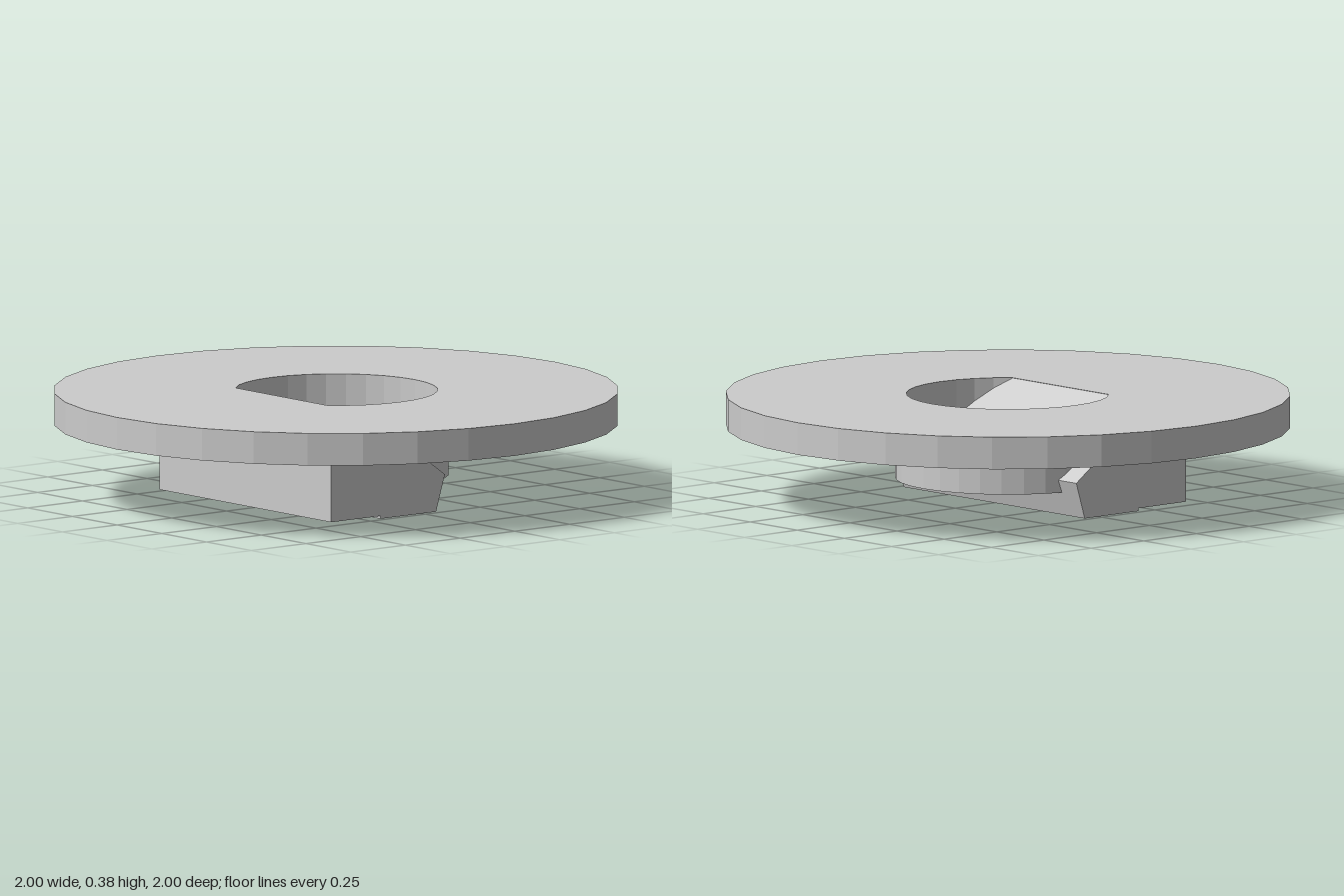
import * as THREE from 'three';

const SIDES = 32;

// Regular polygon points, optionally cut flat at a minimum y.
function ring(radius, minY = -Infinity) {
  return Array.from({ length: SIDES }, (_, i) => {
    const a = (i / SIDES) * Math.PI * 2;
    return new THREE.Vector2(Math.cos(a) * radius, Math.max(Math.sin(a) * radius, minY));
  });
}

export function createModel() {
  const group = new THREE.Group();
  const material = new THREE.MeshStandardMaterial({ color: 0xcccccc, flatShading: true });
  const add = (name, geometry) => {
    const mesh = new THREE.Mesh(geometry, material);
    mesh.name = name;
    group.add(mesh);
  };

  // Flange disc with a D-shaped opening
  const discShape = new THREE.Shape(ring(1));
  discShape.holes.push(new THREE.Path(ring(0.36, -0.25)));
  const disc = new THREE.ExtrudeGeometry(discShape, { depth: 0.115, bevelEnabled: false });
  disc.rotateX(-Math.PI / 2).translate(0, 0.27, 0);
  add('flangeDisc', disc);

  // Round cup with a thick floor hanging below the opening
  const cupProfile = [[0, 0.085], [0.4, 0.085], [0.4, 0.275], [0.36, 0.275], [0.36, 0.165], [0, 0.165]]
    .map(([r, y]) => new THREE.Vector2(r, y));
  add('cup', new THREE.LatheGeometry(cupProfile, SIDES));

  // Wedge block: its sloped face runs from the flat of the opening down to the cup floor
  const wedgeShape = new THREE.Shape([
    [0.415, 0.01], [0.415, 0.3], [0.25, 0.384], [-0.105, 0.13], [-0.065, 0], [0.19, 0], [0.19, 0.01],
  ].map(([z, y]) => new THREE.Vector2(z, y)));
  const wedge = new THREE.ExtrudeGeometry(wedgeShape, { depth: 0.96, bevelEnabled: false });
  wedge.rotateY(-Math.PI / 2).translate(0.48, 0, 0);
  add('wedgeBlock', wedge);

  // Small square post standing on the cup floor
  add('post', new THREE.BoxGeometry(0.06, 0.14, 0.06).translate(0, 0.215, -0.1));

  return group;
}
